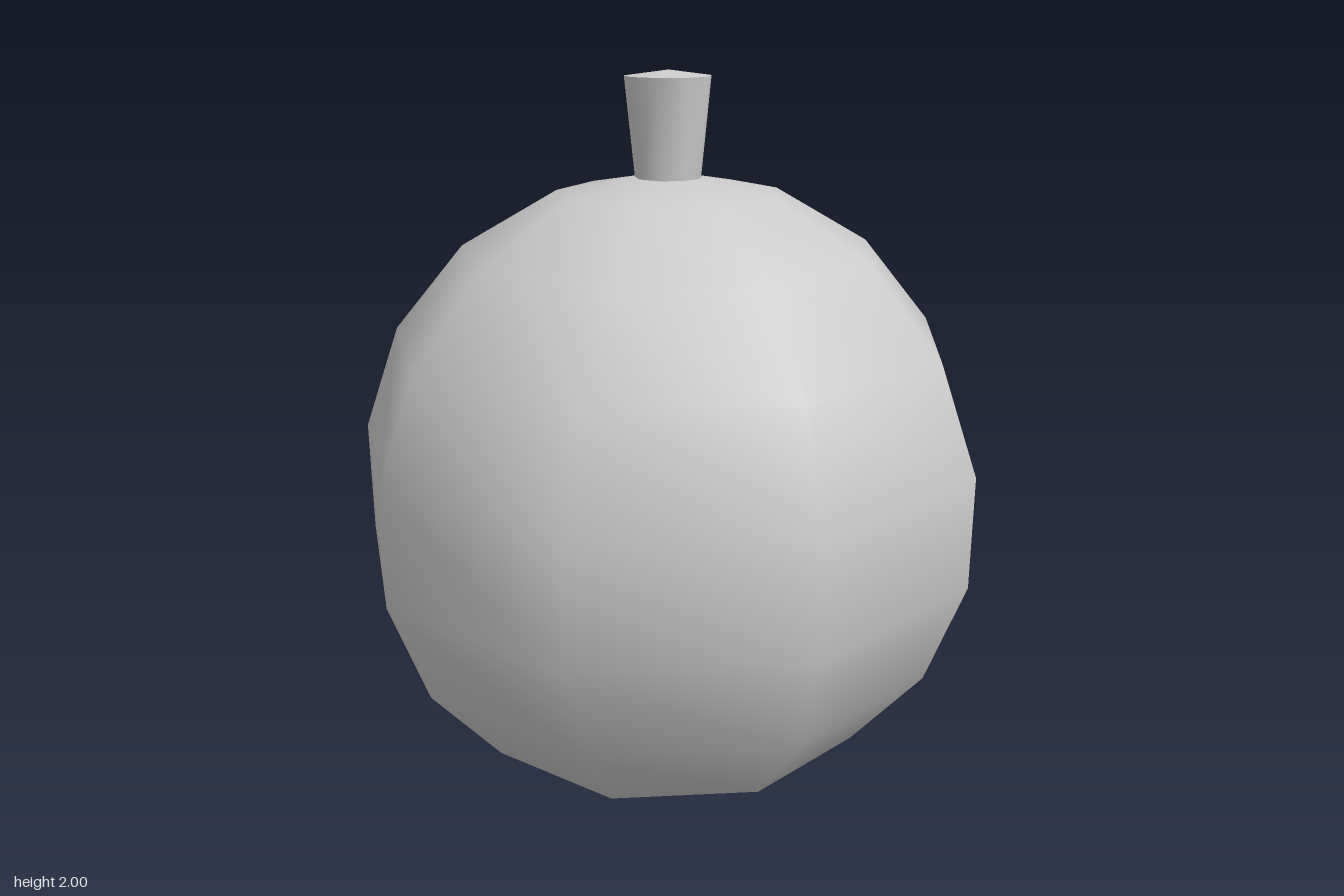
import * as THREE from 'three';

const SIDES = 9;
const R = 0.872;          // body radius, also the height of its centre
const AXIS_X = -0.026;    // nine-sided outline is lopsided about its own axis
const SEAM = Math.PI * 7 / 6;

export function createModel() {
  const group = new THREE.Group();
  group.name = 'ornament';
  const material = new THREE.MeshStandardMaterial({ color: 0xcccccc });

  const add = (name, geometry, y) => {
    const mesh = new THREE.Mesh(geometry, material);
    mesh.name = name;
    mesh.position.set(AXIS_X, y, 0);
    group.add(mesh);
  };

  // Round body: smooth shading with one visible seam at the back
  const body = new THREE.SphereGeometry(R, SIDES, SIDES, -Math.PI / 3);
  body.computeVertexNormals();
  const pos = body.attributes.position;
  for (let i = 0; i < pos.count; i++) {
    const y = pos.getY(i);
    if (Math.abs(y) > R * 0.999) body.attributes.normal.setXYZ(i, 0, Math.sign(y), 0);
  }
  add('body', body, R);

  // Stem flaring upwards, its foot sunk slightly into the body
  const bottom = 1.72, top = 1.985;
  const stem = new THREE.CylinderGeometry(0.115, 0.088, top - bottom, SIDES, 1, true, SEAM);
  stem.computeVertexNormals();
  add('stem', stem, (top + bottom) / 2);

  // Shallow domed cap closing the stem
  const cap = new THREE.ConeGeometry(0.115, 2 - top, SIDES, 1, true, SEAM);
  add('stemCap', cap, (top + 2) / 2);

  return group;
}
